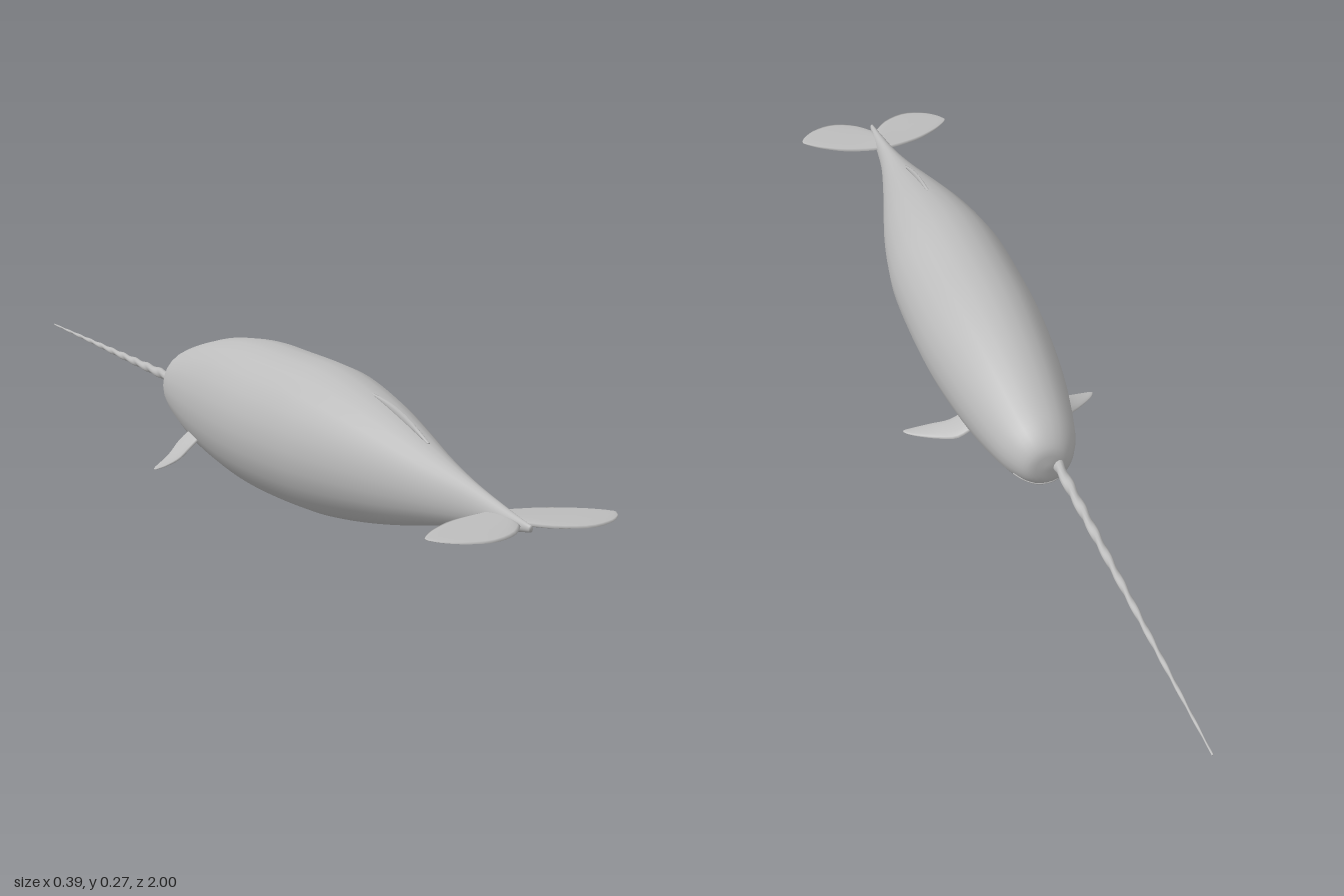
import * as THREE from 'three';

const V = (x, y, z) => new THREE.Vector3(x, y, z);

// Closed skin over a list of rings (equal point counts), wound to face outward
function loft(rings) {
  const n = rings[0].length, pts = rings.flat(), idx = [];
  for (let i = 0; i < rings.length - 1; i++) {
    for (let j = 0; j < n; j++) {
      const a = i * n + j, b = i * n + (j + 1) % n;
      idx.push(a, b, a + n, b, b + n, a + n);
    }
  }
  [0, rings.length - 1].forEach((r, end) => {
    const c = pts.length, mid = V(0, 0, 0);
    rings[r].forEach(p => mid.addScaledVector(p, 1 / n));
    pts.push(mid);
    for (let j = 0; j < n; j++) {
      const a = r * n + j, b = r * n + (j + 1) % n;
      if (end) idx.push(a, b, c); else idx.push(b, a, c);
    }
  });
  let volume = 0;
  const cross = V(0, 0, 0);
  for (let i = 0; i < idx.length; i += 3) {
    volume += pts[idx[i]].dot(cross.crossVectors(pts[idx[i + 1]], pts[idx[i + 2]]));
  }
  if (volume < 0) idx.reverse();
  const g = new THREE.BufferGeometry().setFromPoints(pts);
  g.setIndex(idx);
  g.computeVertexNormals();
  return g;
}

// Smoothly resample rows of numbers
function smoothRows(rows, count) {
  const a = new THREE.CatmullRomCurve3(rows.map(r => V(r[0], r[1], r[2])), false, 'catmullrom', 0.5);
  const b = new THREE.CatmullRomCurve3(rows.map(r => V(r[3], r[4] ?? 0, 0)), false, 'catmullrom', 0.5);
  return u => {
    const p = a.getPoint(u), q = b.getPoint(u);
    return [p.x, p.y, p.z, q.x, q.y];
  };
}

// Flat blade running sideways; rows: x, y, leading z, trailing z, half thickness
function blade(rows, side) {
  const at = smoothRows(rows), rings = [];
  for (let i = 0; i <= 16; i++) {
    const [x, y, lead, trail, t] = at(i / 16), ring = [];
    for (let j = 0; j < 12; j++) {
      const a = j / 12 * Math.PI * 2;
      ring.push(V(side * x, y + t * Math.sin(a), (lead + trail) / 2 + (trail - lead) / 2 * Math.cos(a)));
    }
    rings.push(ring);
  }
  return loft(rings);
}

export function createModel() {
  const group = new THREE.Group();
  const skin = new THREE.MeshStandardMaterial({ color: 0xbcbcbc });
  skin.name = 'grey skin';
  const add = (name, geometry) => {
    const m = new THREE.Mesh(geometry, skin);
    m.name = name;
    group.add(m);
  };

  // Body sections: z, half width, top y, bottom y
  const bodyAt = smoothRows([
    [-0.287, 0.008, 0.137, 0.121], [-0.28, 0.04, 0.168, 0.088], [-0.25, 0.063, 0.195, 0.068],
    [-0.2, 0.08, 0.215, 0.05], [-0.1, 0.1, 0.245, 0.025], [0, 0.113, 0.265, 0.009],
    [0.1, 0.122, 0.274, 0.002], [0.2, 0.124, 0.275, 0.001], [0.32, 0.122, 0.275, 0.006],
    [0.4, 0.114, 0.268, 0.014], [0.5, 0.095, 0.25, 0.03], [0.6, 0.07, 0.225, 0.051],
    [0.7, 0.044, 0.197, 0.077], [0.8, 0.022, 0.174, 0.102], [0.9, 0.011, 0.155, 0.122],
    [0.96, 0.004, 0.146, 0.135],
  ]);
  const bodyPoint = (u, a) => {
    const [z, w, top, bottom] = bodyAt(u);
    return V(w * Math.cos(a), (top + bottom) / 2 + (top - bottom) / 2 * Math.sin(a), z);
  };
  const bodyRings = [];
  for (let i = 0; i <= 60; i++) {
    const ring = [];
    for (let j = 0; j < 24; j++) ring.push(bodyPoint(i / 60, j / 24 * Math.PI * 2));
    bodyRings.push(ring);
  }
  add('body', loft(bodyRings));

  // Spiral tusk, set to the animal's own left of the snout
  const tuskRings = [];
  for (let i = 0; i <= 160; i++) {
    const u = i / 160, ring = [];
    for (let j = 0; j < 12; j++) {
      const a = j / 12 * Math.PI * 2;
      const r = (0.0105 - 0.009 * u) * (1 + 0.16 * Math.cos(2 * a + u * 70));
      ring.push(V(-0.018 + r * Math.cos(a), 0.129 + r * Math.sin(a), -0.265 - 0.735 * u));
    }
    tuskRings.push(ring);
  }
  add('tusk', loft(tuskRings));

  // Low ridge along the back
  const ridgeRings = [];
  for (let i = 0; i <= 12; i++) {
    const u = i / 12, ring = [];
    const z = 0.49 + 0.18 * u, h = 0.001 + 0.007 * Math.sin(Math.PI * u);
    const y = 0.252 - 0.028 * u - 0.018 * u * u;
    for (let j = 0; j < 8; j++) {
      const a = j / 8 * Math.PI * 2;
      ring.push(V(0.003 * Math.cos(a), y + h * Math.sin(a), z));
    }
    ridgeRings.push(ring);
  }
  add('backRidge', loft(ridgeRings));

  // Mouth line around the chin
  const mouthPoints = [];
  for (let i = 0; i <= 12; i++) {
    const s = i / 6 - 1;
    mouthPoints.push(bodyPoint(0.075 + 0.065 * s * s, -Math.PI / 2 + s * 1.0));
  }
  add('mouth', new THREE.TubeGeometry(new THREE.CatmullRomCurve3(mouthPoints), 24, 0.002, 6));

  // Paired flippers and tail flukes
  for (const [side, label] of [[1, 'left'], [-1, 'right']]) {
    add(label + 'Flipper', blade([
      [0.08, 0.076, -0.08, -0.022, 0.008], [0.11, 0.056, -0.073, -0.014, 0.007],
      [0.14, 0.042, -0.047, 0.002, 0.005], [0.17, 0.034, -0.021, 0.01, 0.003],
      [0.188, 0.031, -0.004, 0.012, 0.002], [0.195, 0.03, 0.006, 0.011, 0.001],
    ], side));
    add(label + 'Fluke', blade([
      [0, 0.141, 0.855, 0.935, 0.006], [0.037, 0.141, 0.859, 0.976, 0.005],
      [0.085, 0.141, 0.872, 0.996, 0.004], [0.13, 0.141, 0.898, 0.984, 0.003],
      [0.157, 0.141, 0.922, 0.962, 0.002], [0.168, 0.141, 0.936, 0.944, 0.001],
    ], side));
  }
  return group;
}
